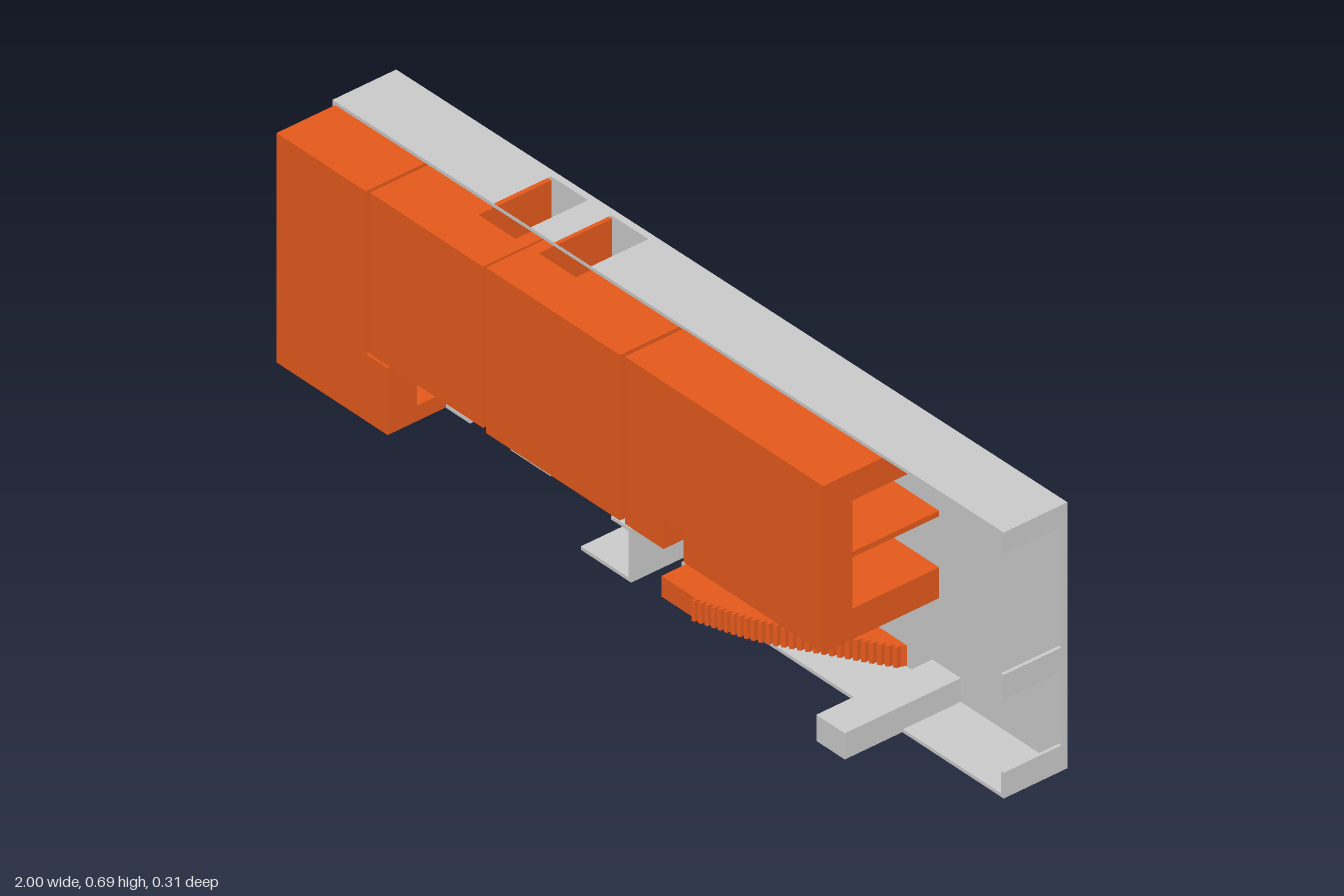
import * as THREE from 'three';

const grey = new THREE.MeshStandardMaterial({ color: 0xcccccc, flatShading: true });
const orange = new THREE.MeshStandardMaterial({ color: 0xe65a1c, flatShading: true });
const BACK = -0.155, INNER = -0.14, RIM = 0.007, FRONT = 0.155, T = 0.008;
const topY = x => 0.6775 + 0.0075 * x;   // gently rising top edge

export function createModel() {
  const model = new THREE.Group();

  const add = (name, geometry, material, parent = model) => {
    const mesh = new THREE.Mesh(geometry, material);
    mesh.name = name;
    parent.add(mesh);
    return mesh;
  };
  const box = (name, x0, x1, y0, y1, z0, z1, material = grey, parent = model) => {
    const mesh = add(name, new THREE.BoxGeometry(x1 - x0, y1 - y0, z1 - z0), material, parent);
    mesh.position.set((x0 + x1) / 2, (y0 + y1) / 2, (z0 + z1) / 2);
    return mesh;
  };
  // Horizontal slab: an outline in [x, z], raised from y0 to y1
  const slab = (name, outline, y0, y1, material, parent, holes = []) => {
    const flat = pts => pts.map(([x, z]) => new THREE.Vector2(x, -z));
    const shape = new THREE.Shape(flat(outline));
    holes.forEach(h => shape.holes.push(new THREE.Path(flat(h))));
    const geometry = new THREE.ExtrudeGeometry(shape, { depth: y1 - y0, bevelEnabled: false });
    geometry.rotateX(-Math.PI / 2).translate(0, y0, 0);
    return add(name, geometry, material, parent);
  };
  const rect = (x0, x1, z0, z1) => [[x0, z0], [x1, z0], [x1, z1], [x0, z1]];
  const group = name => {
    const g = new THREE.Group();
    g.name = name;
    model.add(g);
    return g;
  };

  // Backing panel with its stepped lower edge
  const panel = new THREE.Shape([
    [-1, 0.125], [-0.35, 0.125], [-0.35, 0], [-0.11, 0], [-0.11, 0.125], [0.04, 0.125],
    [0.04, 0.065], [1, 0.065], [1, topY(1)], [-1, topY(-1)],
  ].map(p => new THREE.Vector2(...p)));
  add('backPanel', new THREE.ExtrudeGeometry(panel, { depth: INNER - BACK, bevelEnabled: false })
    .translate(0, 0, BACK), grey);

  // Top wall with two shaft openings, tilted to follow the top edge
  const shafts = [[-0.52, -0.41], [-0.34, -0.23]];
  const top = slab('topWall', rect(-1, 1, INNER, RIM), -T, 0, grey, model,
    shafts.map(([a, b]) => rect(a, b, INNER + 0.001, RIM - 0.001 + 0.0005)));
  top.position.y = topY(0);
  top.rotation.z = 0.0075;

  // Rim walls: left and right ends, stepped bottom
  box('rightEndWall', -1, -1 + T, 0.125, 0.662, INNER, RIM);
  [[0.065, 0.125], [0.295, 0.353], [0.635, 0.68]].forEach(([a, b]) =>
    box('leftEndWall', 1 - T, 1, a, b, INNER, RIM));
  [[-1, -0.59, 0.125], [-0.47, -0.35, 0.125], [-0.26, -0.11, 0], [-0.17, -0.11, 0.117],
    [0.04, 1, 0.065]].forEach(([a, b, y]) => box('bottomWall', a, b, y, y + T, INNER, RIM));
  box('bayWall', -0.11 - T, -0.11, 0, 0.125, INNER, RIM);
  box('stepWall', 0.04, 0.04 + T, 0.065, 0.125, INNER, RIM);

  // Projecting bar near the left end
  box('projectingBar', 0.615, 0.7, 0.067, 0.128, INNER, FRONT);

  // Block with a slot cut into its left face
  const slotted = (x0, x1, depth) => [
    [x0, INNER], [x1 - depth, INNER], [x1 - depth, 0.08], [x1, 0.08], [x1, FRONT], [x0, FRONT]];

  // Corner block: slotted foot below a narrower tower
  const corner = group('cornerBlock');
  slab('foot', rect(-0.993, -0.662, INNER, FRONT), 0.134, 0.162, orange, corner);
  box('footFront', -0.993, -0.662, 0.126, 0.134, RIM, FRONT, orange, corner);
  slab('footSlot', slotted(-0.993, -0.662, 0.27), 0.162, 0.237, orange, corner);
  slab('footTop', rect(-0.993, -0.662, INNER, FRONT), 0.237, 0.282, orange, corner);
  slab('tower', rect(-0.993, -0.727, INNER, FRONT), 0.282, 0.661, orange, corner);

  // Two middle blocks, each pierced by a vertical shaft
  [[-0.715, -0.378, 0.288], [-0.369, 0.03, 0.281]].forEach(([a, b, y], i) => {
    const [s, e] = shafts[i];
    slab('middleBlock', [[a, INNER], [s, INNER], [s, 0.045], [e, 0.045], [e, INNER], [b, INNER],
      [b, FRONT], [a, FRONT]], y, topY(a) - 0.008, orange, model);
  });

  // Long block: two side slots and a small passage through its base
  const long = group('longBlock');
  const [l, r] = [0.045, 0.635];
  slab('baseRight', rect(l, 0.16, INNER, FRONT), 0.281, 0.353, orange, long);
  slab('baseLeft', rect(0.22, r, INNER, FRONT), 0.281, 0.353, orange, long);
  slab('lowerSlot', slotted(l, r, 0.5), 0.353, 0.472, orange, long);
  slab('shelf', rect(l, r, INNER, FRONT), 0.472, 0.485, orange, long);
  slab('upperSlot', slotted(l, r, 0.5), 0.485, 0.605, orange, long);
  slab('cap', rect(l, r, INNER, FRONT), 0.605, 0.671, orange, long);

  // Toothed wedge: its front edge is a serrated curve
  const edge = new THREE.CatmullRomCurve3([[0.15, 0.075], [0.28, 0.03], [0.41, -0.045], [0.54, -0.125]]
    .map(([x, z]) => new THREE.Vector3(x, 0, z)));
  const teeth = [];
  const N = 28;
  for (let i = 0; i < N; i++) {
    for (const [t, out] of [[0, 0], [0, 0.01], [0.5, 0.01], [0.5, 0]]) {
      const p = edge.getPoint((i + t) / N);
      teeth.push([p.x, p.z - 0.01 + out]);
    }
  }
  slab('toothedWedge', [[0.048, INNER], [0.048, 0.065], ...teeth, [0.54, INNER]],
    0.074, 0.122, orange, model, [rect(0.07, 0.13, -0.1, 0)]);

  return model;
}
